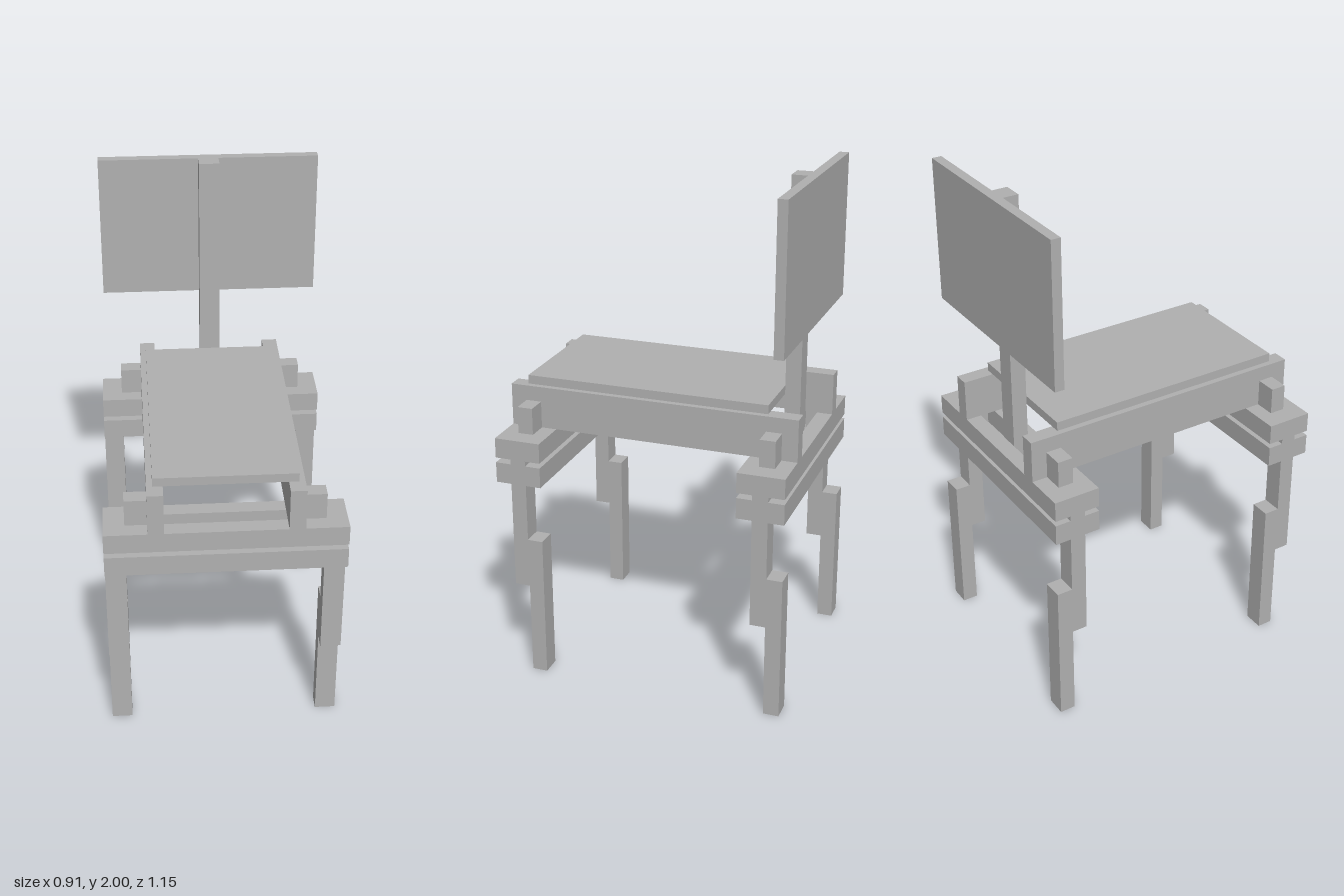
import * as THREE from 'three';

export function createModel() {
  const chair = new THREE.Group();
  chair.name = 'chair';
  const grey = new THREE.MeshStandardMaterial({ color: 0xb0b0b0 });
  grey.name = 'plain grey';

  // Box given by its lower and upper limits on each axis
  const box = (name, [x0, x1], [y0, y1], [z0, z1]) => {
    const mesh = new THREE.Mesh(new THREE.BoxGeometry(x1 - x0, y1 - y0, z1 - z0), grey);
    mesh.position.set((x0 + x1) / 2, (y0 + y1) / 2, (z0 + z1) / 2);
    mesh.name = name;
    chair.add(mesh);
  };
  const mirror = ([a, b], side) => (side > 0 ? [a, b] : [-b, -a]);

  // Depth layers of the front and back trestles
  const outer = [0.515, 0.577], middle = [0.454, 0.515], inner = [0.393, 0.454];

  for (const end of [1, -1]) {
    const endName = end > 0 ? 'front' : 'back';

    // Paired cross boards clamping the uprights, in two tiers
    for (const y of [[0.808, 0.89], [0.91, 0.99]]) {
      for (const layer of [outer, inner]) {
        box(endName + 'CrossBoard', [-0.453, 0.453], y, mirror(layer, end));
      }
    }

    for (const side of [1, -1]) {
      const sideName = side > 0 ? 'Left' : 'Right';
      // Stepped legs: both lower pieces are set one layer back
      const legX = mirror([0.373, 0.453], side);
      box(endName + sideName + 'UpperLeg', legX, [0.376, 0.99], mirror(middle, end));
      box(endName + sideName + 'LowerLeg', legX, [0, 0.578], end > 0 ? inner : mirror(outer, -1));
      // Stop blocks beside the rails
      box(endName + sideName + 'Block', mirror([0.29, 0.373], side), [0.808, 1.097], mirror(middle, end));
    }
  }

  // Side rails and seat
  for (const side of [1, -1]) {
    box(side > 0 ? 'leftRail' : 'rightRail', mirror([0.229, 0.29], side), [0.99, 1.157], [-0.577, 0.577]);
  }
  box('seat', [-0.267, 0.267], [1.157, 1.192], [-0.454, 0.515]);

  // Back post and panel
  box('backPost', [-0.04, 0.04], [0.808, 2], [-0.515, -0.454]);
  box('backPanel', [-0.432, 0.432], [1.43, 2], [-0.553, -0.515]);

  return chair;
}
